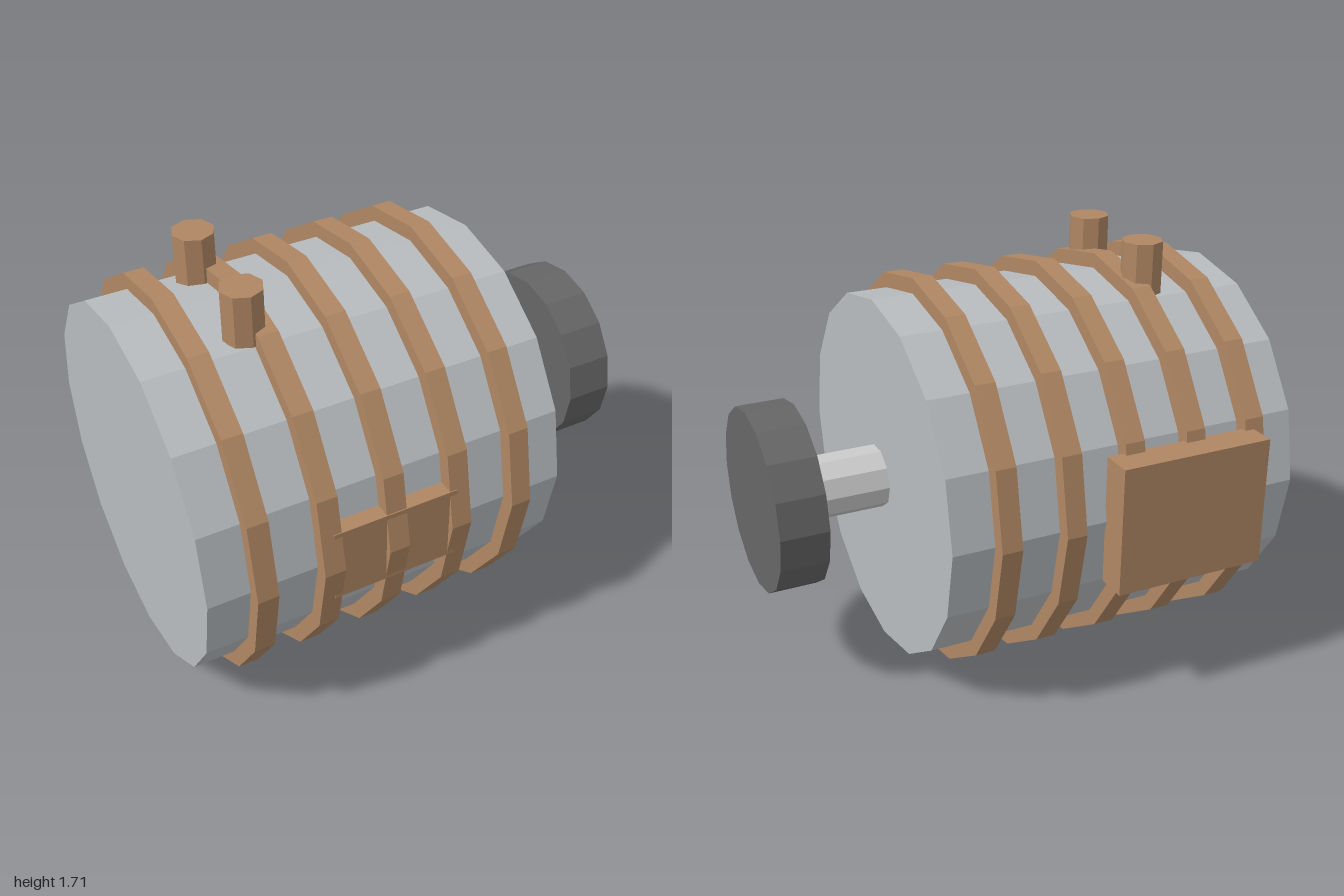
import * as THREE from 'three';

const AXIS_Y = 0.805, AXIS_Z = 0.025;

const material = (color) => new THREE.MeshStandardMaterial({ color, flatShading: true });

export function createModel() {
  const model = new THREE.Group();
  const steel = material(0xb8bcbf);
  const shaftSteel = material(0xbcbcc0);
  const copper = material(0xb08763);
  const iron = material(0x666666);

  const add = (name, geometry, mat, x, y, z) => {
    const mesh = new THREE.Mesh(geometry, mat);
    mesh.name = name;
    mesh.position.set(x, y, z);
    model.add(mesh);
    return mesh;
  };

  // Faceted cylinder lying along x, between x0 and x1
  const axial = (name, radius, x0, x1, sides, mat) => {
    const geometry = new THREE.CylinderGeometry(radius, radius, x1 - x0, sides).rotateZ(-Math.PI / 2);
    return add(name, geometry, mat, (x0 + x1) / 2, AXIS_Y, AXIS_Z);
  };

  // Main drum
  axial('body', 0.741, -1, 0.477, 16, steel);

  // Raised bands around the drum
  for (let i = 0; i < 5; i++) {
    const x = -0.793 + i * 0.265;
    axial('band', 0.803, x - 0.041, x + 0.041, 16, copper);
  }

  // Drive shaft and pulley
  axial('shaft', 0.1275, 0.45, 0.83, 10, shaftSteel);
  axial('pulley', 0.37, 0.807, 1, 16, iron);

  // Terminal posts on top
  for (const z of [-0.19, 0.238]) {
    add('terminalPost', new THREE.CylinderGeometry(0.083, 0.083, 0.21, 8), copper, -0.58, 1.603, z);
  }

  // Front plate set between the bands
  add('frontPlate', new THREE.BoxGeometry(0.51, 0.315, 0.09), copper, -0.263, 0.8075, 0.755);

  // Box on the back
  add('backBox', new THREE.BoxGeometry(0.635, 0.525, 0.127), copper, -0.4725, 0.8075, -0.7675);

  return model;
}
